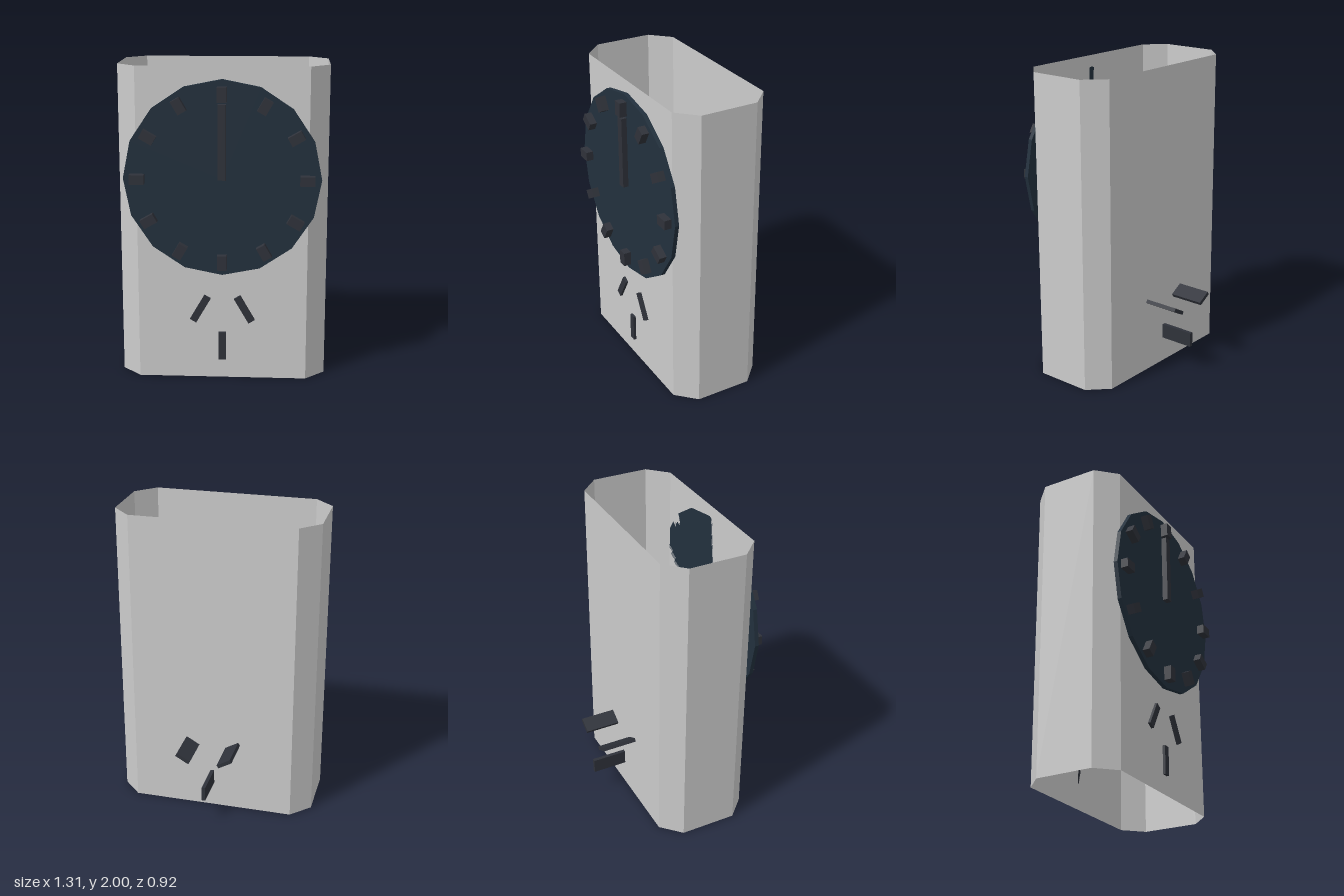
import * as THREE from 'three';

const FRONT = 0.385, BACK = -0.23;
const shell = new THREE.MeshStandardMaterial({ color: 0xcccccc, flatShading: true, side: THREE.DoubleSide });
const navy = new THREE.MeshStandardMaterial({ color: 0x22303d, flatShading: true });
const dark = new THREE.MeshStandardMaterial({ color: 0x2f323a, flatShading: true });

// Box spanning z0..z1, centred at (x, y), turned about z
function bar(name, w, h, z0, z1, x, y, turn = 0) {
  const mesh = new THREE.Mesh(new THREE.BoxGeometry(w, h, z1 - z0), dark);
  mesh.name = name;
  mesh.position.set(x, y, (z0 + z1) / 2);
  mesh.rotation.z = turn;
  return mesh;
}

// Chamfered tube, open at top and bottom
function caseGeometry() {
  const X = 0.655, x = 0.533, c = 0.122;
  const ring = [
    [x, FRONT], [X, FRONT - c], [X, BACK + c], [x, BACK],
    [-x, BACK], [-X, BACK + c], [-X, FRONT - c], [-x, FRONT],
  ];
  const pos = [];
  ring.forEach(([ax, az], i) => {
    const [bx, bz] = ring[(i + 1) % ring.length];
    pos.push(ax, 0, az, bx, 0, bz, bx, 2, bz, ax, 0, az, bx, 2, bz, ax, 2, az);
  });
  const geo = new THREE.BufferGeometry();
  geo.setAttribute('position', new THREE.Float32BufferAttribute(pos, 3));
  geo.computeVertexNormals();
  return geo;
}

export function createModel() {
  const model = new THREE.Group();
  model.name = 'plugInTimer';

  const body = new THREE.Mesh(caseGeometry(), shell);
  body.name = 'case';
  model.add(body);

  // Sixteen-sided dial with twelve hour marks and one hand
  const dial = new THREE.Group();
  dial.name = 'dial';
  const cy = 1.31, face = FRONT + 0.027;
  const disc = new THREE.Mesh(new THREE.CylinderGeometry(0.613, 0.613, face - FRONT, 16), navy);
  disc.name = 'dialFace';
  disc.rotation.x = Math.PI / 2;
  disc.position.set(0, cy, (FRONT + face) / 2);
  dial.add(disc);
  for (let i = 0; i < 12; i++) {
    const a = (i * Math.PI) / 6;
    dial.add(bar('hourMark', 0.06, 0.092, face, 0.46, -0.525 * Math.sin(a), cy + 0.525 * Math.cos(a), a));
  }
  dial.add(bar('hand', 0.05, 0.465, face, 0.448, 0, cy + 0.2325));
  model.add(dial);

  // Socket slots on the front, plug pins on the back
  model.add(bar('lowerSlot', 0.046, 0.185, FRONT, 0.402, 0, 0.218));
  model.add(bar('lowerPin', 0.024, 0.096, -0.46, BACK, 0, 0.218));
  for (const s of [-1, 1]) {
    model.add(bar('upperSlot', 0.046, 0.185, FRONT, 0.402, s * 0.14, 0.465, s * Math.PI / 6));
    model.add(bar('upperPin', 0.1, 0.024, -0.46, BACK, s * 0.138, 0.465, s * Math.PI / 6));
  }
  return model;
}
